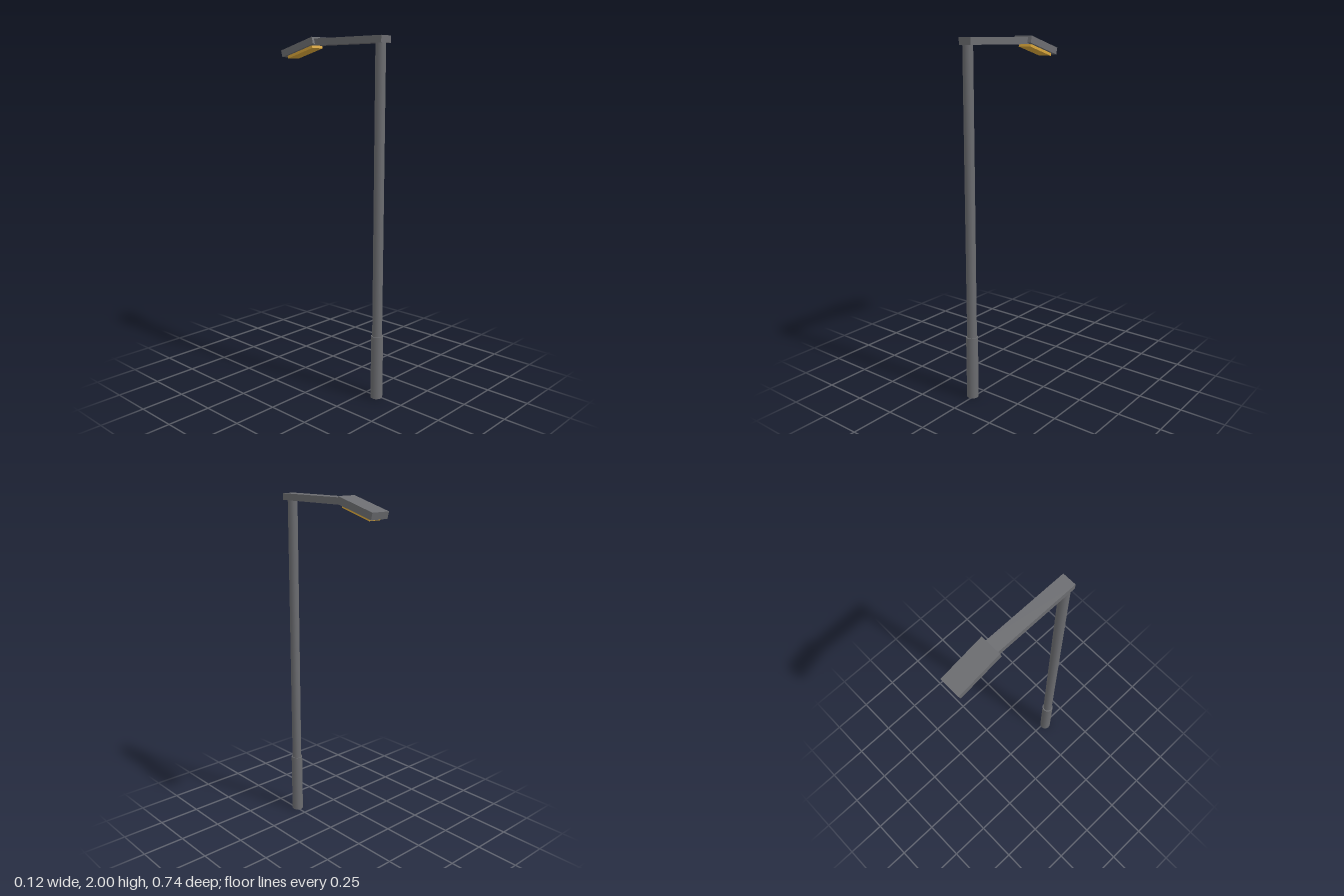
import * as THREE from 'three';

export function createModel() {
  const model = new THREE.Group();
  const metal = new THREE.MeshStandardMaterial({ color: 0x6b6c70 });
  const amber = new THREE.MeshStandardMaterial({ color: 0xd8a53a });

  function add(parent, name, geometry, material, x, y, z) {
    const mesh = new THREE.Mesh(geometry, material);
    mesh.name = name;
    mesh.position.set(x, y, z);
    parent.add(mesh);
    return mesh;
  }

  // Upright post, with a thicker sleeve at the foot
  const postX = -0.01, postZ = 0.333;
  function column(name, radius, bottom, top) {
    const geometry = new THREE.CylinderGeometry(radius, radius, top - bottom, 12);
    add(model, name, geometry, metal, postX, (bottom + top) / 2, postZ);
  }
  column('baseSleeve', 0.034, 0, 0.365);
  column('post', 0.028, 0.36, 1.96);

  // Horizontal arm reaching backwards from the post top
  add(model, 'arm', new THREE.BoxGeometry(0.078, 0.037, 0.488), metal, -0.004, 1.973, 0.119);

  // Lamp head, tilted down towards its far end
  const head = new THREE.Group();
  head.name = 'lampHead';
  head.position.set(0, 1.948, -0.241);
  head.rotation.x = -THREE.MathUtils.degToRad(15);
  model.add(head);
  add(head, 'lampHousing', new THREE.BoxGeometry(0.117, 0.039, 0.259), metal, 0, 0, 0);
  add(head, 'lampPanel', new THREE.BoxGeometry(0.082, 0.02, 0.205), amber, 0, -0.0245, 0);

  return model;
}
